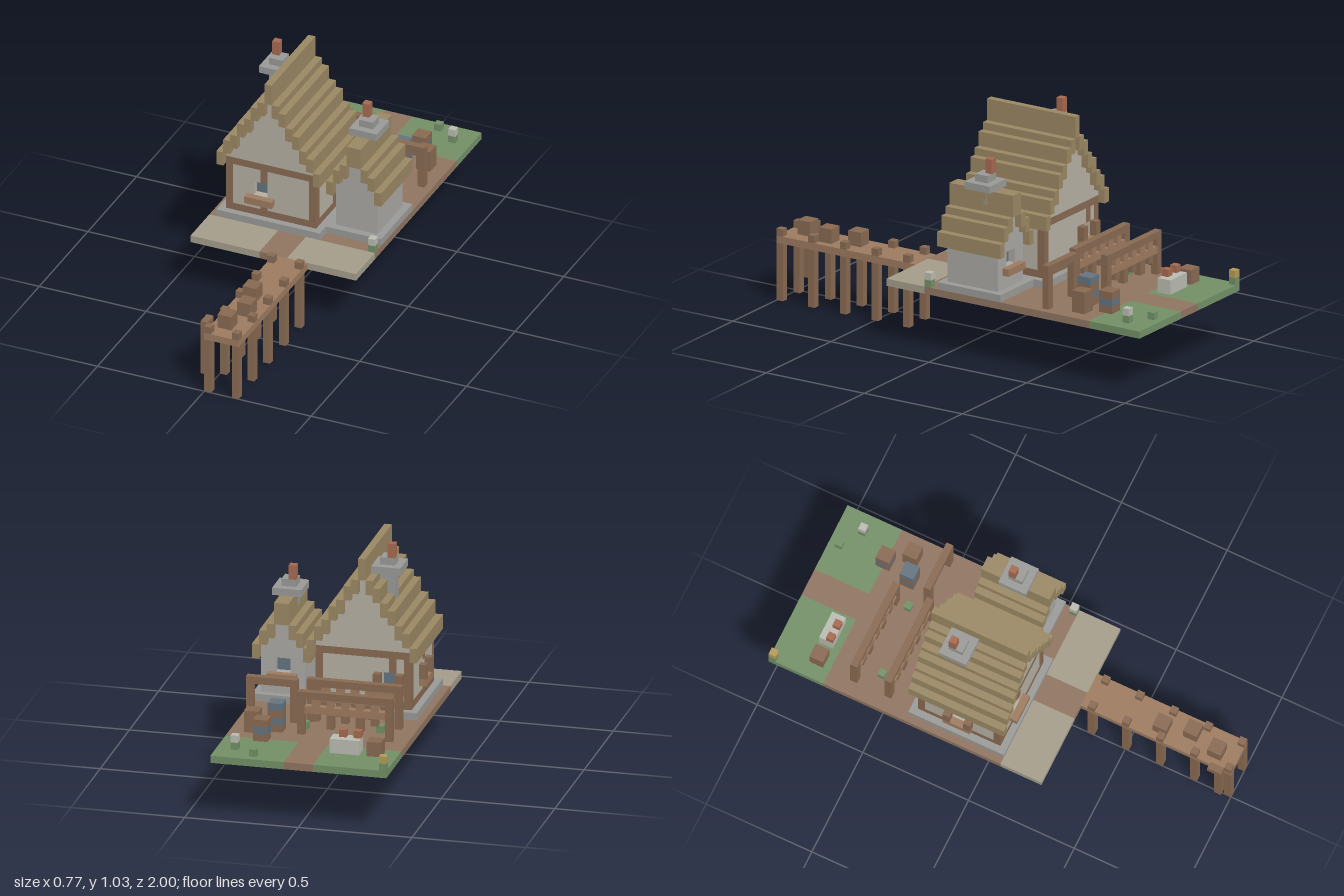
import * as THREE from 'three';

const C = {
  plaster: 0xb5afa2, timber: 0x876951, thatch: 0x9a8763, stone: 0x999996, paleStone: 0xa8a7a3, dirt: 0x8f7460,
  grass: 0x728f66, sand: 0xa39c8a, plank: 0x9c7a5f, blue: 0x63737f, clay: 0xa5694f, white: 0xb9bab0, yellow: 0xb39a55,
};
const mats = {};
const mat = (color) => (mats[color] ??= new THREE.MeshStandardMaterial({ color, side: THREE.DoubleSide, flatShading: true }));

function add(parent, name, geo, color) {
  const m = new THREE.Mesh(geo, mat(color));
  m.name = name;
  parent.add(m);
  return m;
}

// Block given by its limits; faces (0 +x, 1 -x, 2 +y, 3 -y, 4 +z, 5 -z) keeps only those sides.
function box(parent, name, [x0, x1], [y0, y1], [z0, z1], color, faces) {
  const g = new THREE.BoxGeometry(x1 - x0, y1 - y0, z1 - z0);
  if (faces) {
    const idx = Array.from(g.index.array);
    g.setIndex(faces.flatMap((f) => idx.slice(f * 6, f * 6 + 6)));
    g.clearGroups();
  }
  g.translate((x0 + x1) / 2, (y0 + y1) / 2, (z0 + z1) / 2);
  return add(parent, name, g, color);
}

const rect = (x0, x1, y0, y1) => [[x0, y0], [x1, y0], [x1, y1], [x0, y1]].map((p) => new THREE.Vector2(...p));
function panel(points, holes) {
  const s = new THREE.Shape(points);
  s.holes = holes.map((h) => new THREE.Path(h));
  return s;
}

// Stepped gable outline centred on x = 0; steps are heights from eave to ridge.
function gable(width, steps, ridgeHalf) {
  const pts = [new THREE.Vector2(-width / 2, 10)];
  steps.forEach((h, i) => {
    const x = -width / 2 + i;
    const next = i === steps.length - 1 ? -ridgeHalf + 2 * ridgeHalf : x + 1;
    pts.push(new THREE.Vector2(x, h), new THREE.Vector2(next, h));
  });
  const ridge = steps.length - 1;
  for (let i = ridge - 1; i >= 0; i--) {
    const x = width / 2 - i;
    pts.push(new THREE.Vector2(x - 1, steps[i]), new THREE.Vector2(x, steps[i]));
  }
  pts.push(new THREE.Vector2(width / 2, 10));
  return pts;
}

// One wall in its own frame facing +z, with optional recessed window, timbers and shutters.
function wall(parent, name, width, outline, { color, win, timber, shutters }, pos, rot) {
  const g = new THREE.Group();
  g.name = name;
  const hasWin = win !== undefined;
  const holes = hasWin ? [rect(win - 1, win + 1, 13, 15)] : [];
  add(g, 'wallPanel', new THREE.ShapeGeometry(panel(outline, holes)), color);
  if (hasWin) {
    box(g, 'windowReveal', [win - 1, win + 1], [13, 15], [-1, 0], color, [0, 1, 2, 3]);
    box(g, 'windowGlass', [win - 1, win + 1], [13, 15], [-1, 0], C.blue, [5]);
    box(g, 'flowerBox', [win - 2, win + 2], [12, 13], [0, 1], C.plank);
    if (shutters) for (const s of [-1.5, 1.5]) box(g, 'shutter', [win + s - 0.5, win + s + 0.5], [13, 15], [0, 1], C.timber);
  }
  if (timber) {
    const h = width / 2;
    const beam = (n, x, y) => box(g, n, x, y, [-0.05, 0.05], C.timber);
    beam('sillBeam', [-h, h], [10, 11]);
    beam('topBeam', [-h, h], [17, 18]);
    beam('cornerPost', [-h, 1 - h], [11, 17]);
    beam('cornerPost', [h - 1, h], [11, 17]);
    if (hasWin) {
      beam('middlePost', [win, win + 1], [11, 12]);
      beam('middlePost', [win, win + 1], [15, 17]);
    } else beam('middlePost', [-0.5, 0.5], [11, 17]);
  }
  g.position.set(...pos);
  g.rotation.y = rot;
  parent.add(g);
}

// Stepped thatch: mirrored courses, then a ridge.
function roof(parent, cx, halfWidth, steps, ridge, ridgeHalf, z) {
  const g = new THREE.Group();
  g.name = 'thatchedRoof';
  steps.forEach((y, i) => {
    for (const s of [-1, 1]) {
      const x = cx + s * (halfWidth - i - 0.5);
      box(g, 'thatchCourse', [x - 0.5, x + 0.5], [y, y + 2], z, C.thatch);
    }
  });
  box(g, 'roofRidge', [cx - ridgeHalf, cx + ridgeHalf], [ridge, ridge + 3], z, C.thatch);
  parent.add(g);
}

function chimney(parent, x, z, base, y) {
  const g = new THREE.Group();
  g.name = 'chimney';
  box(g, 'chimneyStack', [x - 1, x + 1], [base, y], [z - 1, z + 1], C.stone);
  box(g, 'chimneyCollar', [x - 2, x + 2], [y, y + 1], [z - 2, z + 2], C.stone);
  box(g, 'chimneyCap', [x - 1, x + 1], [y + 1, y + 2], [z - 1, z + 1], C.stone);
  box(g, 'chimneyPot', [x - 1, x], [y + 2, y + 4], [z - 1, z], C.clay);
  parent.add(g);
}

// Stone ring around the foot of a building.
function plinth(parent, x0, x1, z0, z1) {
  const s = panel(rect(x0 - 1, x1 + 1, -z1 - 1, -z0 + 1), [rect(x0, x1, -z1, -z0)]);
  const geo = new THREE.ExtrudeGeometry(s, { depth: 1, bevelEnabled: false }).rotateX(-Math.PI / 2).translate(0, 9, 0);
  add(parent, 'plinth', geo, C.stone);
}

// Rack of posts and rails with hanging pieces.
function rack(parent, x0, x1, z, hanging) {
  const g = new THREE.Group();
  g.name = 'dryingRack';
  const zz = [z, z + 1];
  for (const x of [x0, x1 - 1]) box(g, 'rackPost', [x, x + 1], [9, 14], zz, C.timber);
  box(g, 'rackRail', [x0, x1], [14, 15], zz, C.timber);
  if (hanging) {
    box(g, 'lowerRail', [x0 + 1, x1 - 1], [12, 13], zz, C.plank);
    for (let x = x0 + 2, i = 0; x < x1 - 1; x += 2, i++) {
      box(g, 'hangingCatch', [x, x + 1], [13, 14], zz, C.plank);
      box(g, 'hangingCatch', [x, x + 1], [i % 2 ? 10 : 11, 12], zz, C.timber);
    }
  }
  parent.add(g);
}

export function createModel() {
  const root = new THREE.Group();
  root.name = 'fishingCottage';
  const m = new THREE.Group();
  m.name = 'cottageAndJetty';
  root.add(m);

  // Ground slab, open underneath
  const Y = [8, 9];
  box(m, 'sandLeft', [2, 12], Y, [3, 9], C.sand, [0, 2, 4]);
  box(m, 'sandRight', [-12, -2], Y, [3, 9], C.sand, [1, 2, 4]);
  box(m, 'frontPath', [-2, 2], Y, [3, 9], C.dirt, [2, 4]);
  box(m, 'grassLeft', [2, 12], Y, [-31, -23], C.grass, [0, 2, 5]);
  box(m, 'grassRight', [-12, -2], Y, [-31, -23], C.grass, [1, 2, 5]);
  box(m, 'backPath', [-2, 2], Y, [-31, -23], C.dirt, [2, 5]);
  box(m, 'yardEdges', [-12, 12], Y, [-23, 3], C.dirt, [0, 1]);
  const yard = panel(rect(-12, 12, -3, 23), [rect(-10, 3, -2, 10), rect(5, 11, 0, 8)]);
  add(m, 'yard', new THREE.ShapeGeometry(yard).rotateX(-Math.PI / 2).translate(0, 9, 0), C.dirt);

  // Jetty with posts, ladder and crates
  box(m, 'jettyDeck', [0, 5], Y, [9, 31], C.plank, [0, 1, 2, 4]);
  for (const z of [10, 15, 20, 25, 30]) for (const x of [0, 4]) {
    box(m, 'jettyPost', [x, x + 1], [0, 8], [z, z + 1], C.timber);
    box(m, 'jettyPostTop', [x, x + 1], [9, 10], [z, z + 1], C.timber);
  }
  box(m, 'ladderPost', [-1, 0], [2, 9], [29, 30], C.timber);
  box(m, 'ladderTop', [-1, 0], [9, 10], [28, 30], C.timber);
  for (const [x, z] of [[1, 27], [2, 23], [1, 19]]) box(m, 'jettyCrate', [x, x + 2], [9, 11], [z, z + 2], C.timber);

  // Main house
  const steps = [17, 19, 20, 22, 23, 25, 26];
  const outline = gable(13, [...steps.slice(1), 28], 0.5);
  const side = rect(-6, 6, 10, 19);
  const style = { color: C.plaster, timber: true };
  plinth(m, -10, 3, -10, 2);
  wall(m, 'frontWall', 13, outline, { ...style, win: -1.5 }, [-3.5, 0, 2], 0);
  wall(m, 'backWall', 13, outline, { ...style, win: 3.5, shutters: true }, [-3.5, 0, -10], Math.PI);
  wall(m, 'rightWall', 12, side, { ...style, win: 0, shutters: true }, [-10, 0, -4], -Math.PI / 2);
  wall(m, 'leftWall', 12, side, style, [3, 0, -4], Math.PI / 2);
  roof(m, -3.5, 7.5, steps, 28, 0.5, [-11, 3]);
  chimney(m, -6, -6, 22, 28);

  // Stone annex
  const annexSteps = [15, 17, 18];
  const annexOutline = gable(6, [17, 18, 20], 1);
  const annexSide = rect(-4, 4, 10, 17);
  const stone = { color: C.paleStone };
  plinth(m, 5, 11, -8, 0);
  wall(m, 'annexFront', 6, annexOutline, stone, [8, 0, 0], 0);
  wall(m, 'annexBack', 6, annexOutline, { ...stone, win: 0 }, [8, 0, -8], Math.PI);
  wall(m, 'annexLeft', 8, annexSide, stone, [11, 0, -4], Math.PI / 2);
  wall(m, 'annexRight', 8, annexSide, stone, [5, 0, -4], -Math.PI / 2);
  roof(m, 8, 4, annexSteps, 20, 1, [-9, 1]);
  chimney(m, 8, -4, 21, 23);

  // Yard racks, barrels, crates and table
  rack(m, -10, 3, -15, true);
  rack(m, -10, 3, -20, true);
  rack(m, 4, 11, -16, false);
  for (const [x, z, h] of [[5, -20, 4], [6, -24, 3]]) for (let i = 0; i < h; i++)
    box(m, 'barrelBand', [x, x + 2], [9 + i, 10 + i], [z, z + 2], i % 2 ? C.blue : C.timber);
  box(m, 'yardCrate', [8, 10], [9, 12], [-21, -19], C.timber);
  box(m, 'yardCrate', [-10, -8], [9, 11], [-26, -24], C.timber);
  box(m, 'cuttingTable', [-7, -3], [9, 11], [-26, -24], C.white);
  for (const x of [-7, -5]) box(m, 'catchOnTable', [x, x + 1], [11, 12], [-25, -24], C.clay);

  // Little plants, some with a flower on top
  for (const [x, z, top] of [[-12, -31, C.yellow], [11, 2, C.white], [9, -28, C.white], [6, -30], [-8, -17], [2, -18]]) {
    box(m, 'plant', [x, x + 1], [9, 10], [z, z + 1], C.grass);
    if (top) box(m, 'flower', [x, x + 1], [10, 11], [z, z + 1], top);
  }

  m.scale.setScalar(1 / 31);
  return root;
}
